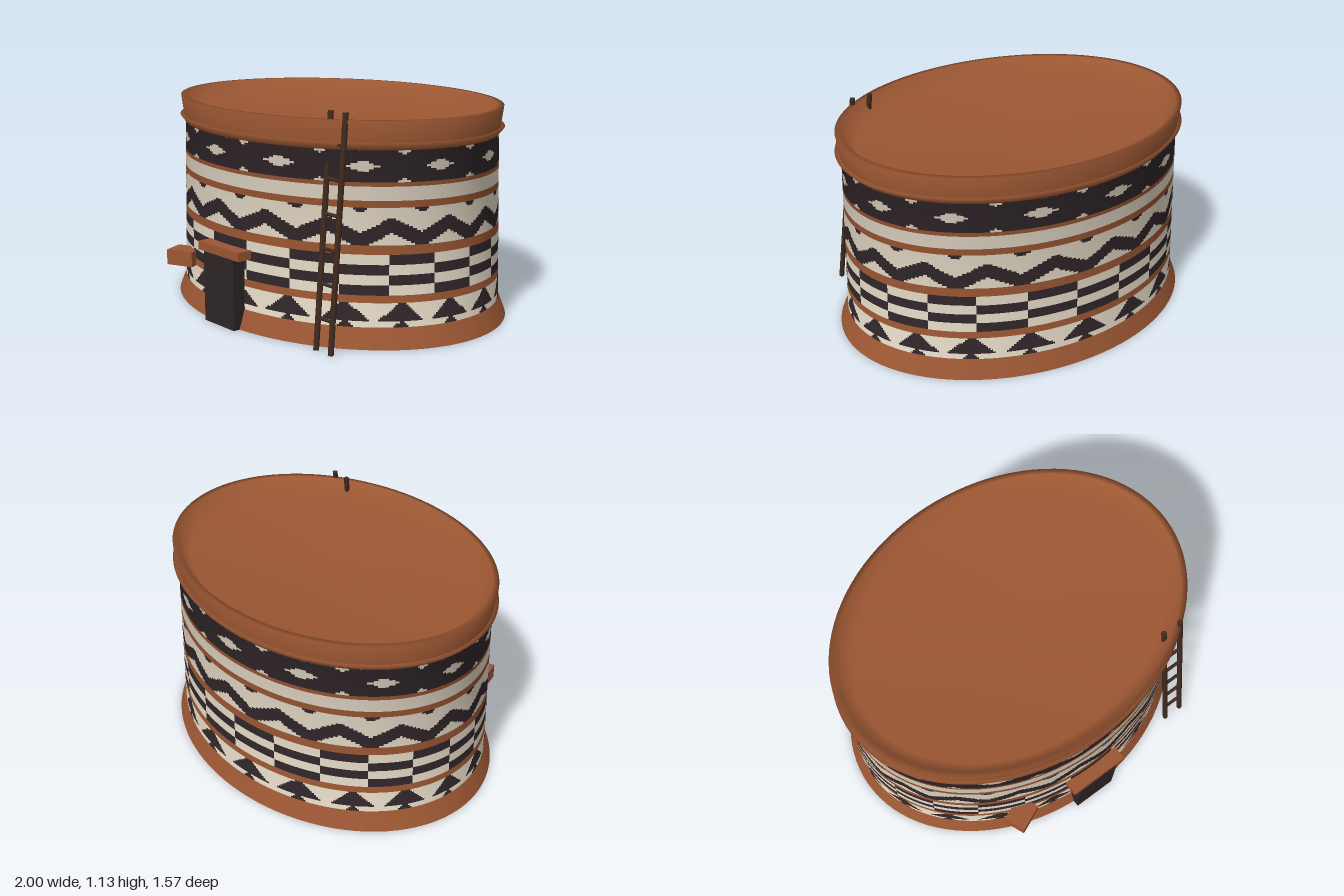
import * as THREE from 'three';

const mat = (name, color, side = THREE.FrontSide) => {
  const m = new THREE.MeshStandardMaterial({ color, side });
  m.name = name;
  return m;
};

// Wall radius, before the round plan is squashed into an oval
const wallRadius = (y) => 0.957 - 0.022 * (y - 0.1) / 0.85;
// Distance from the middle of a repeat: 0 at the middle, 1 at its ends
const fromMiddle = (u, n) => Math.abs(2 * (u * n - Math.floor(u * n)) - 1);

const CLAY = 0, CREAM = 1, DARK = 2;

// Painted bands: name, bottom, top, rows, paint(u, y)
const BANDS = [
  ['triangleBand', 0.1, 0.22, 12, (u, y) => {
    const d = fromMiddle(u, 19);
    const half = y > 0.125 ? 0.12 + 0.78 * (0.22 - y) / 0.095 : 0.1 + 0.2 * (0.125 - y) / 0.025;
    return d < half ? DARK : CREAM;
  }],
  ['lowerStripe', 0.22, 0.257, 1, () => CLAY],
  ['checkerBand', 0.257, 0.455, 4, (u, y) => {
    const row = Math.floor((y - 0.257) / 0.0495);
    return Math.abs(Math.floor(u * 22) + row) % 2 ? DARK : CREAM;
  }],
  ['middleStripe', 0.455, 0.5, 1, () => CLAY],
  ['zigzagBand', 0.5, 0.68, 18, (u, y) => {
    const d = fromMiddle(u, 17);
    const rise = 0.075 * (1 - d);
    if (y > 0.655 && 1 - d < 0.28 * (y - 0.65) / 0.03) return DARK;
    return y > 0.485 + rise && y < 0.56 + rise ? DARK : CREAM;
  }],
  ['upperStripe', 0.68, 0.713, 1, () => CLAY],
  ['plainBand', 0.713, 0.78, 1, () => CREAM],
  ['topStripe', 0.78, 0.8, 1, () => CLAY],
  ['diamondBand', 0.8, 0.95, 15, (u, y) => {
    const d = fromMiddle(u, 13);
    const edge = Math.min(y - 0.8, 0.95 - y);
    if (d / 0.4 + Math.abs(y - 0.875) / 0.03 < 1) return CREAM;
    return (1 - d) / 0.2 + edge / 0.02 < 1 ? CREAM : DARK;
  }],
];

// One painted ring of wall, its cells sorted into a group per colour
function bandGeometry(y0, y1, rows, paint) {
  const N = 484, pos = [], nor = [], cells = [[], [], []];
  for (let j = 0; j <= rows; j++) {
    const y = y0 + (y1 - y0) * j / rows, r = wallRadius(y);
    const tilt = 0.2 - 0.5 * (y - 0.1) / 0.85, len = Math.hypot(1, tilt);
    for (let i = 0; i <= N; i++) {
      const a = i / N * Math.PI * 2, s = Math.sin(a), c = Math.cos(a);
      pos.push(r * s, y, r * c);
      nor.push(s / len, tilt / len, c / len);
    }
  }
  for (let j = 0; j < rows; j++) {
    const y = y0 + (y1 - y0) * (j + 0.5) / rows;
    for (let i = 0; i < N; i++) {
      const a = j * (N + 1) + i, b = a + 1, d = a + N + 1, c = d + 1;
      cells[paint((i + 0.5) / N - 0.25, y)].push(a, b, c, a, c, d);
    }
  }
  const g = new THREE.BufferGeometry();
  g.setAttribute('position', new THREE.Float32BufferAttribute(pos, 3));
  g.setAttribute('normal', new THREE.Float32BufferAttribute(nor, 3));
  g.setIndex(cells.flat());
  let start = 0;
  cells.forEach((list, k) => {
    if (list.length) g.addGroup(start, list.length, k);
    start += list.length;
  });
  return g;
}

export function createModel() {
  const clay = mat('clay', 0x9c5733, THREE.DoubleSide);
  const cream = mat('cream', 0xe4d9c6, THREE.DoubleSide);
  const dark = mat('dark paint', 0x30262a, THREE.DoubleSide);
  const doorDark = mat('door dark', 0x2d2526);
  const wood = mat('dark wood', 0x402a1e);

  const model = new THREE.Group();
  model.name = 'roundHouse';
  const add = (parent, name, geometry, material, x = 0, y = 0, z = 0) => {
    const m = new THREE.Mesh(geometry, material);
    m.name = name;
    m.position.set(x, y, z);
    parent.add(m);
    return m;
  };

  // Oval shell: everything turned on the lathe, squashed front to back
  const shell = new THREE.Group();
  shell.name = 'shell';
  shell.scale.z = 0.772;
  shell.position.z = -0.014;
  model.add(shell);
  const turned = (name, points) => add(shell, name,
    new THREE.LatheGeometry(points.map(([r, y]) => new THREE.Vector2(r, y)), 96), clay);

  turned('footing', [[1, 0], [0.957, 0.1]]);
  for (const [name, y0, y1, rows, paint] of BANDS) {
    add(shell, name, bandGeometry(y0, y1, rows, paint), [clay, cream, dark]);
  }
  turned('cornice', [[0.935, 0.95], [0.967, 0.985], [0.935, 0.985]]);
  turned('roofBowl', [[0.942, 0.97], [0.96, 1.09], [0.925, 1.09], [0.855, 1.01], [0, 0.99]]);

  // Doorway
  add(model, 'door', new THREE.BoxGeometry(0.24, 0.365, 0.1), doorDark, 0, 0.1825, 0.737);
  add(model, 'lintel', new THREE.BoxGeometry(0.33, 0.045, 0.1), clay, 0, 0.387, 0.737);

  // Small block set askew in the wall
  const block = add(model, 'wallBlock', new THREE.BoxGeometry(0.152, 0.08, 0.12), clay, -0.438, 0.255, 0.68);
  block.rotation.y = 0.405;

  // Leaning ladder
  const ladder = new THREE.Group();
  ladder.name = 'ladder';
  model.add(ladder);
  const pole = (name, from, to, r) => {
    const dir = to.clone().sub(from);
    const m = add(ladder, name, new THREE.CylinderGeometry(r, r, dir.length(), 8), wood);
    m.position.copy(from).addScaledVector(dir, 0.5);
    m.quaternion.setFromUnitVectors(new THREE.Vector3(0, 1, 0), dir.normalize());
  };
  const feet = [0.607, 0.71].map((x) => new THREE.Vector3(x, 0.005, 0.673));
  const tips = [0.543, 0.645].map((x) => new THREE.Vector3(x, 1.125, 0.52));
  feet.forEach((foot, i) => pole('ladderRail', foot, tips[i], 0.014));
  for (let k = 0; k < 6; k++) {
    const t = (0.155 + 0.163 * k) / 1.12;
    pole('ladderRung', feet[0].clone().lerp(tips[0], t), feet[1].clone().lerp(tips[1], t), 0.009);
  }
  return model;
}
